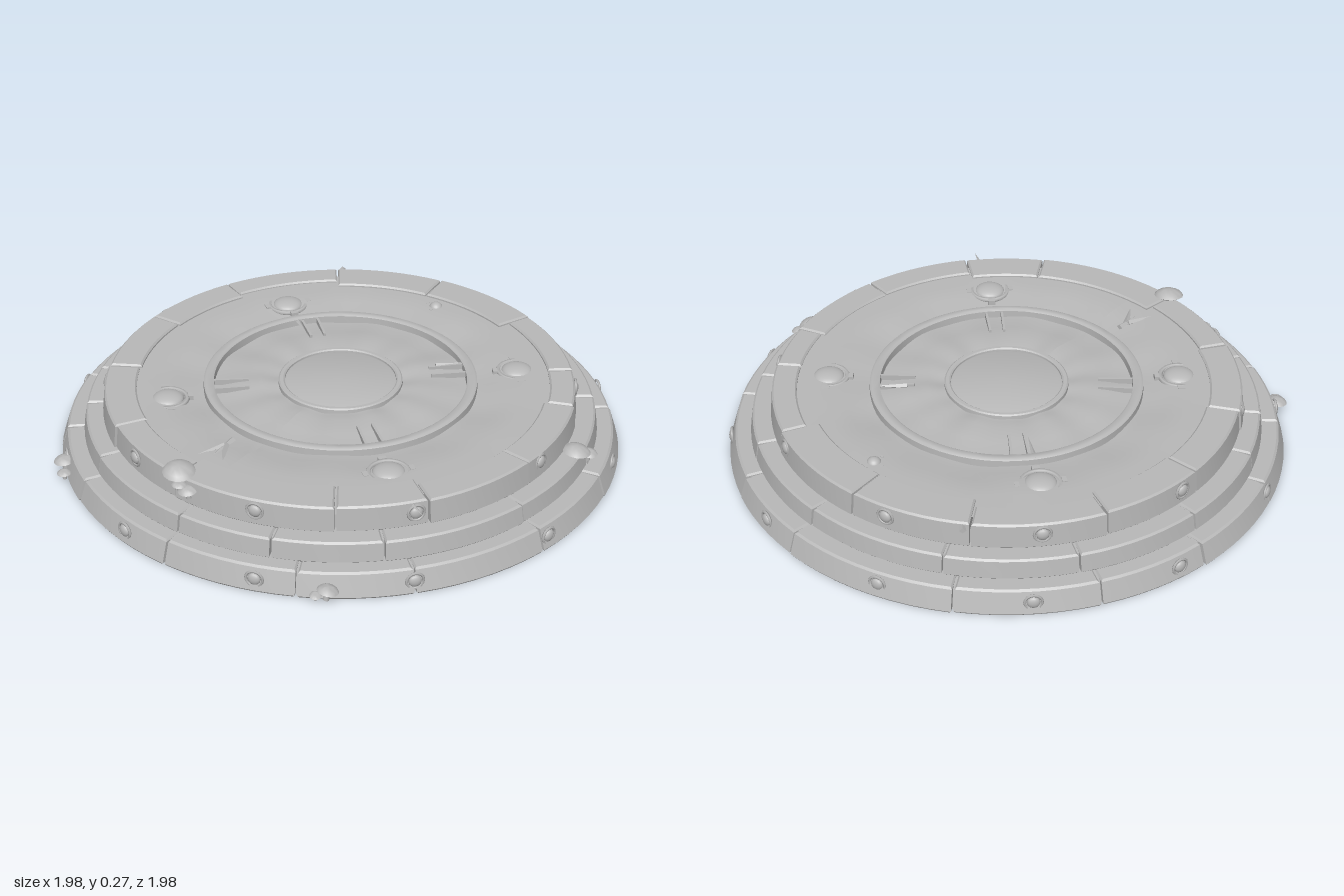
import * as THREE from 'three';
import { toCreasedNormals, mergeGeometries } from 'three/addons/utils/BufferGeometryUtils.js';

export function createModel() {
  const model = new THREE.Group();
  model.name = 'roundStoneDais';
  const stone = new THREE.MeshStandardMaterial({ color: 0xb8b8b8 });
  stone.name = 'grey stone';

  let seed = 7;
  const rand = () => (seed = (seed * 16807) % 2147483647) / 2147483647;
  const rad = THREE.MathUtils.degToRad;
  const add = (name, geo, parent = model) => {
    const mesh = new THREE.Mesh(geo, stone);
    mesh.name = name;
    parent.add(mesh);
    return mesh;
  };
  const lathe = (pts, n = 64) =>
    toCreasedNormals(new THREE.LatheGeometry(pts.map(p => new THREE.Vector2(p[0], p[1])), n), 0.6);

  // One worn, curved block; angles run from +z towards +x
  function block(r0, r1, y0, y1, a0, a1, taper) {
    const b = 0.006, n = Math.max(4, Math.ceil((a1 - a0) / 0.07)), pts = [];
    const put = (r, a) => pts.push(new THREE.Vector2(r * Math.sin(a), -r * Math.cos(a)));
    for (let i = 0; i <= n; i++) put(r1, a0 + (a1 - a0) * i / n);
    for (let i = n; i >= 0; i--) put(r0, a0 + (a1 - a0) * i / n);
    const geo = new THREE.ExtrudeGeometry(new THREE.Shape(pts), {
      depth: y1 - y0 - 2 * b, bevelSize: b, bevelThickness: b, bevelOffset: -b, bevelSegments: 1,
    });
    geo.rotateX(-Math.PI / 2).translate(0, y0 + b, 0);
    // Lean the outer wall inwards
    const p = geo.attributes.position;
    for (let i = 0; i < p.count; i++) {
      const x = p.getX(i), z = p.getZ(i);
      if (Math.hypot(x, z) < (r0 + r1) / 2) continue;
      const s = 1 - taper * (p.getY(i) - y0) / (y1 - y0) / r1;
      p.setX(i, x * s);
      p.setZ(i, z * s);
    }
    return toCreasedNormals(geo, 0.45);
  }

  // Three steps of blocks, split at the given seam angles
  const tiers = [
    { name: 'lowerStep', r0: 0.84, r1: 0.998, y0: 0, y1: 0.086, taper: 0.028,
      seams: [-3, 24, 46, 74, 97, 124, 154, 175, 211, 239, 262, 286, 308, 329] },
    { name: 'middleStep', r0: 0.78, r1: 0.915, y0: 0.08, y1: 0.153, taper: 0.012,
      seams: [-3, 18, 41, 73, 100, 122, 149, 176, 208, 236, 264, 289, 305, 328] },
    { name: 'upperStep', r0: 0.72, r1: 0.842, y0: 0.147, y1: 0.238, taper: 0.01,
      seams: [-8, 31, 52, 80, 108, 125, 154, 184, 213, 244, 270, 297, 326] },
  ];
  for (const t of tiers) {
    const group = new THREE.Group();
    group.name = t.name;
    model.add(group);
    t.seams.forEach((s, i) => {
      const end = i + 1 < t.seams.length ? t.seams[i + 1] : t.seams[0] + 360;
      const inner = t.r0 + (rand() - 0.5) * 0.05, outer = t.r1 - rand() * 0.007;
      add('stepBlock', block(inner, outer, t.y0, t.y1 - rand() * 0.004,
        rad(s) + 0.004, rad(end) - 0.004, t.taper), group);
    });
  }

  // Solid core behind the seams, with a softly dished floor
  add('core', lathe([[0, 0.001], [0.975, 0.001], [0.95, 0.075], [0.888, 0.078],
    [0.882, 0.142], [0.815, 0.146], [0.81, 0.2], [0.7, 0.2], [0, 0.19]], 72));
  const profile = [[0.78, 0.226], [0.66, 0.226], [0.58, 0.222], [0.52, 0.208], [0.47, 0.208],
    [0.43, 0.204], [0.36, 0.214], [0.28, 0.22], [0.235, 0.212], [0.2, 0.212]];
  const floor = new THREE.LatheGeometry(profile.map(p => new THREE.Vector2(p[0], p[1])), 96);
  const fp = floor.attributes.position;
  for (let i = 0; i < fp.count; i++) {
    const x = fp.getX(i), z = fp.getZ(i), r = Math.hypot(x, z), a = Math.atan2(x, z);
    const wave = Math.sin(a * 7 + r * 9) * 0.5 + Math.sin(a * 13 + 1) * 0.5;
    if (r < 0.65) fp.setY(i, fp.getY(i) + wave * 0.004);
  }
  floor.computeVertexNormals();
  add('dishedFloor', floor);
  add('centreDisc', lathe([[0.205, 0.2], [0.2, 0.217], [0.19, 0.221], [0, 0.221]], 40));

  // Raised rings around the floor panels
  add('outerRing', lathe([[0.486, 0.195], [0.484, 0.23], [0.476, 0.235], [0.456, 0.235],
    [0.448, 0.23], [0.446, 0.195]], 80));
  add('innerRing', lathe([[0.222, 0.2], [0.22, 0.224], [0.215, 0.228], [0.203, 0.228],
    [0.198, 0.224], [0.196, 0.2]], 48));

  // Narrow ribs crossing the ring towards the bosses
  for (const deg of [47, 131, 227, 308]) {
    for (const side of [-1, 1]) {
      const rib = new THREE.BoxGeometry(0.009, 0.02, 0.15);
      rib.translate(side * 0.016, 0.217, 0.4).rotateY(rad(deg) + side * 0.03);
      add('floorRib', rib);
    }
  }

  // Domed bosses with collars
  function boss(x, z, r) {
    const g = new THREE.Group();
    g.name = 'boss';
    g.position.set(x, 0.217, z);
    const dome = new THREE.SphereGeometry(r, 20, 8, 0, Math.PI * 2, 0, Math.PI / 2);
    add('bossDome', dome.scale(1, 0.023 / r, 1), g);
    const collar = new THREE.TorusGeometry(r * 1.2, r * 0.16, 6, 24);
    add('bossCollar', collar.rotateX(Math.PI / 2), g);
    for (let i = 0; i < 4; i++) {
      const tab = new THREE.BoxGeometry(r * 0.5, 0.018, r * 0.3);
      add('bossTab', tab.translate(0, 0, r * 1.42).rotateY(i * Math.PI / 2 + Math.atan2(x, z)), g);
    }
    model.add(g);
  }
  [[-0.47, -0.37], [0.5, -0.39], [-0.44, 0.43], [0.45, 0.42]].forEach(([x, z]) => boss(x, z, 0.056));
  boss(0.02, -0.65, 0.026);

  // Round studs set into the step walls
  function studs(count, start, r, y) {
    for (let i = 0; i < count; i++) {
      const dome = new THREE.SphereGeometry(0.022, 12, 6, 0, Math.PI * 2, 0, Math.PI / 2);
      dome.scale(1, 0.55, 1).rotateX(Math.PI / 2);
      const collar = new THREE.TorusGeometry(0.028, 0.005, 5, 16);
      const geo = mergeGeometries([dome, collar]);
      add('wallStud', geo.translate(0, y, r).rotateY(rad(start + i * 360 / count)));
    }
  }
  studs(12, 16, 0.98, 0.045);
  studs(10, 13, 0.832, 0.197);

  // Splintered chips on the floor
  for (const [x, z, turn] of [[-0.09, 0.6, 0], [-0.06, 0.63, 0.5], [-0.12, 0.64, -0.4],
    [0.33, -0.7, 2.6], [-0.4, -0.68, 0.8], [0.62, 0.55, 1], [-0.33, -0.25, 0.9], [0.29, -0.3, 2.3]]) {
    const chip = new THREE.ConeGeometry(0.02, 0.13, 4).rotateX(Math.PI / 2);
    chip.scale(0.6, 0.5, 1).rotateY(turn).translate(x, 0.224, z);
    add('stoneChip', toCreasedNormals(chip, 0.3));
  }

  // Small mushrooms growing from the steps
  function mushroom(x, y, z, r) {
    const g = new THREE.Group();
    g.name = 'mushroom';
    g.position.set(x, y, z);
    g.rotation.set((rand() - 0.5) * 0.3, 0, (rand() - 0.5) * 0.3);
    add('mushroomCap', lathe([[0, -r * 0.08], [r * 0.7, -r * 0.15], [r, 0], [r * 0.8, r * 0.22],
      [r * 0.4, r * 0.4], [0, r * 0.46]], 14), g);
    const stalk = new THREE.CylinderGeometry(r * 0.22, r * 0.3, r * 0.9, 8);
    add('mushroomStalk', stalk.translate(0, -r * 0.5, 0), g);
    model.add(g);
  }
  [[-0.11, 0.245, 0.81, 0.055], [-0.055, 0.205, 0.84, 0.032], [-0.08, 0.225, 0.85, 0.025],
    [0.87, 0.15, -0.12, 0.05], [0.9, 0.13, -0.16, 0.03], [-0.67, 0.05, 0.735, 0.037],
    [-0.64, 0.03, 0.775, 0.025], [0.5, 0.045, 0.87, 0.036], [0.47, 0.03, 0.895, 0.02]]
    .forEach(m => mushroom(...m));

  return model;
}
